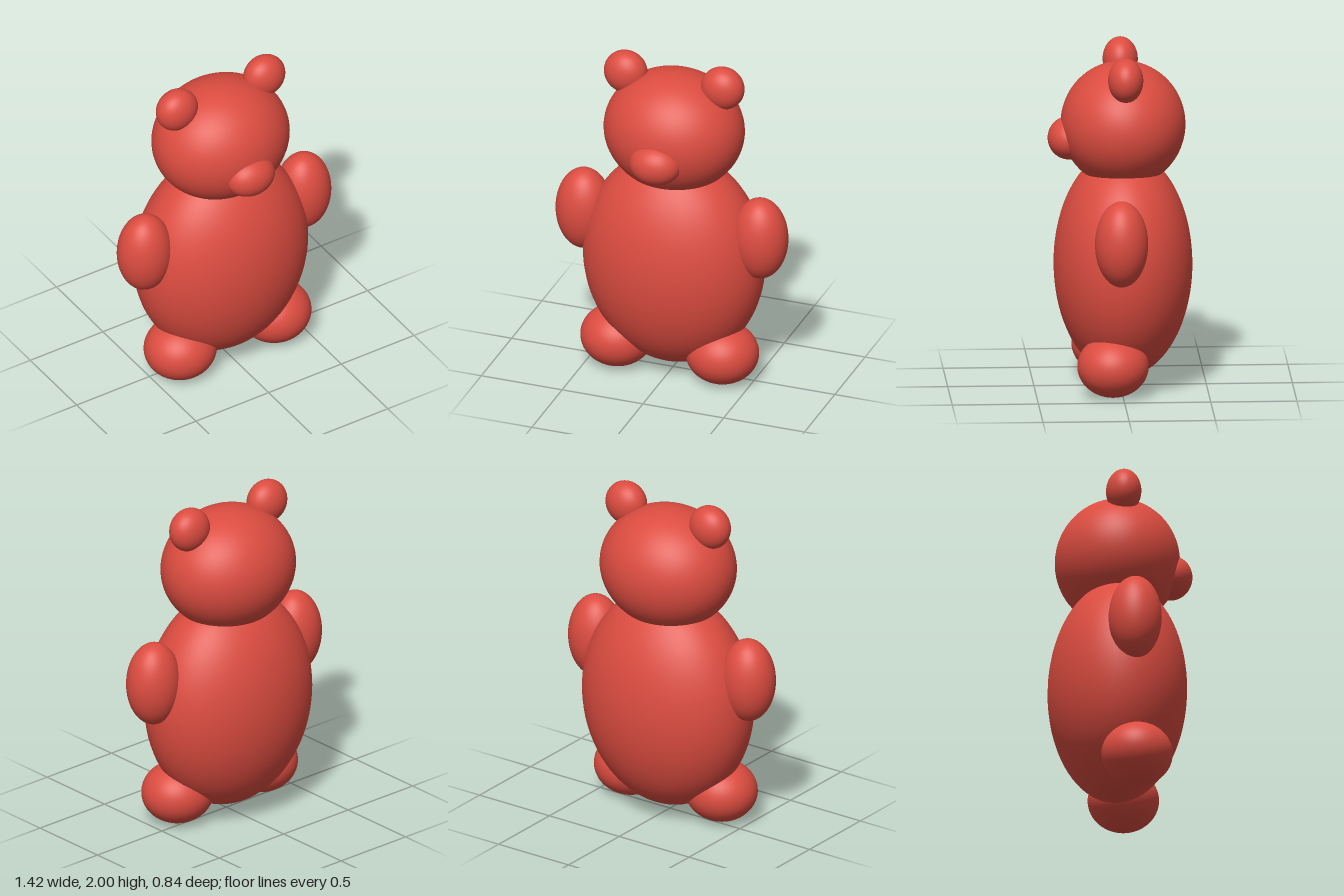
import * as THREE from 'three';

export function createModel() {
  const bear = new THREE.Group();
  bear.name = 'bear';
  const red = new THREE.MeshStandardMaterial({ color: 0xdc4c40 });
  red.name = 'red';
  const sphere = new THREE.SphereGeometry(1, 64, 48);

  // Every part is an ellipsoid given by its centre and radii
  function ellipsoid(name, centre, radii) {
    const geometry = sphere.clone().scale(...radii);
    const mesh = new THREE.Mesh(geometry, red);
    mesh.name = name;
    mesh.position.set(...centre);
    bear.add(mesh);
  }

  // Mirrored parts, left is +x
  function pair(name, [x, y, z], radii) {
    ellipsoid('left' + name, [x, y, z], radii);
    ellipsoid('right' + name, [-x, y, z], radii);
  }

  // Trunk and face
  ellipsoid('body', [0, 0.725, -0.017], [0.545, 0.665, 0.402]);
  ellipsoid('head', [0, 1.55, -0.017], [0.416, 0.365, 0.362]);
  ellipsoid('snout', [0, 1.47, 0.298], [0.154, 0.124, 0.122]);

  // Ears and limbs
  pair('Ear', [0.3, 1.87, -0.017], [0.13, 0.13, 0.102]);
  pair('Arm', [0.545, 0.953, 0.02], [0.166, 0.253, 0.154]);
  pair('Foot', [0.325, 0.183, 0.058], [0.215, 0.181, 0.207]);

  return bear;
}
